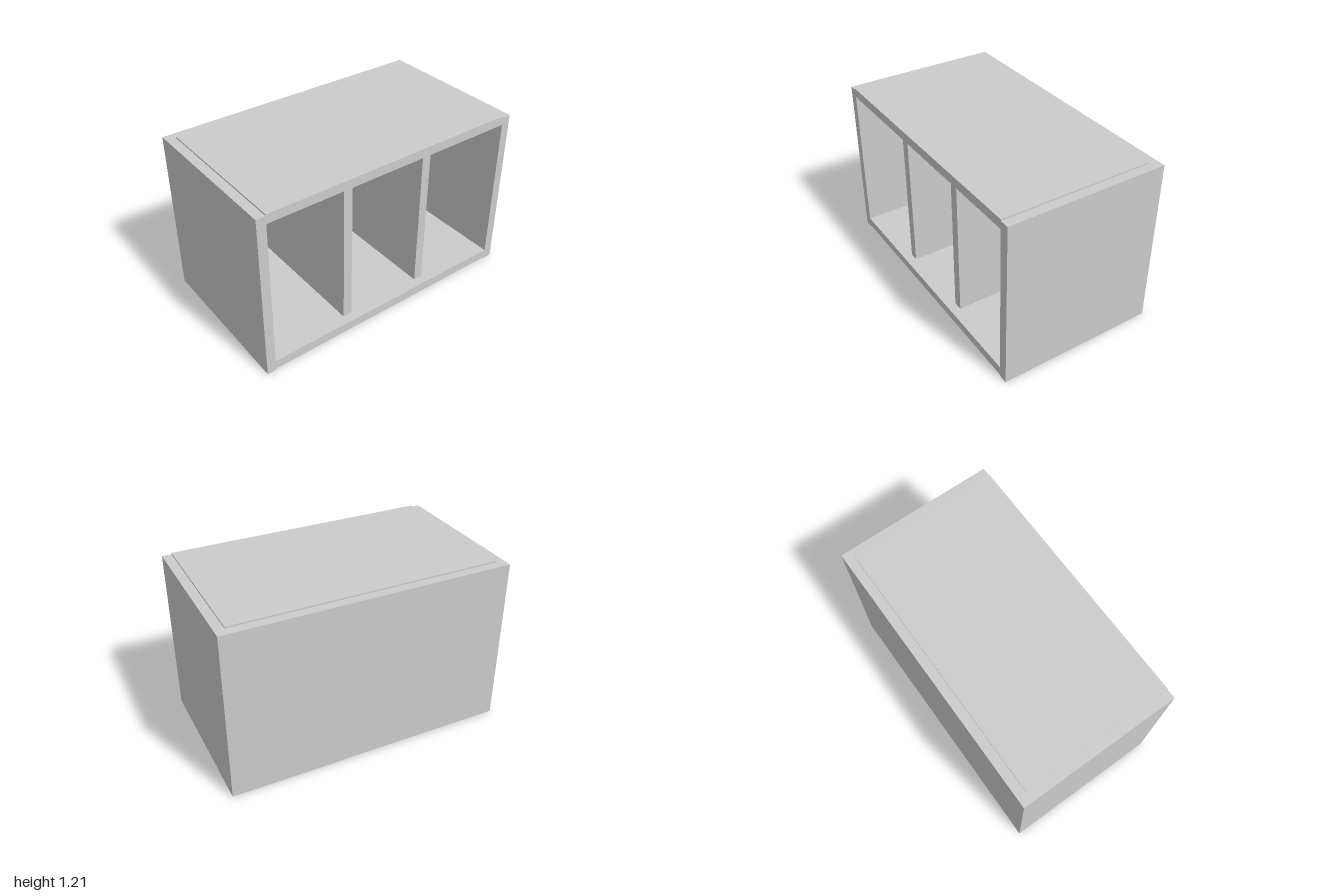
import * as THREE from 'three';

const W = 2, H = 1.2, D = 1.13; // outer carcass
const T = 0.065;                // board thickness
const STEP = 0.01;              // top and bottom boards sit slightly raised

export function createModel() {
  const group = new THREE.Group();
  const material = new THREE.MeshStandardMaterial({ color: 0xcccccc });

  // A board given by its min and max corners
  const board = (name, [x0, y0, z0], [x1, y1, z1]) => {
    const mesh = new THREE.Mesh(new THREE.BoxGeometry(x1 - x0, y1 - y0, z1 - z0), material);
    mesh.position.set((x0 + x1) / 2, (y0 + y1) / 2, (z0 + z1) / 2);
    mesh.name = name;
    group.add(mesh);
  };

  const inner = W / 2 - T, front = D / 2, back = -D / 2 + T;
  const floorY = STEP + T, ceilingY = H + STEP - T;

  // Shell
  board('leftSide', [inner, 0, -D / 2], [W / 2, H, front]);
  board('rightSide', [-W / 2, 0, -D / 2], [-inner, H, front]);
  board('backPanel', [-inner, 0, -D / 2], [inner, H, back]);
  board('bottomPanel', [-inner, STEP, back], [inner, floorY, front]);
  board('topPanel', [-inner, ceilingY, back], [inner, H + STEP, front]);

  // Dividers, set back from the front edge
  for (const [name, x] of [['leftDivider', 0.317], ['rightDivider', -0.317]]) {
    board(name, [x - T / 2, floorY, back], [x + T / 2, ceilingY, front - T]);
  }
  return group;
}
